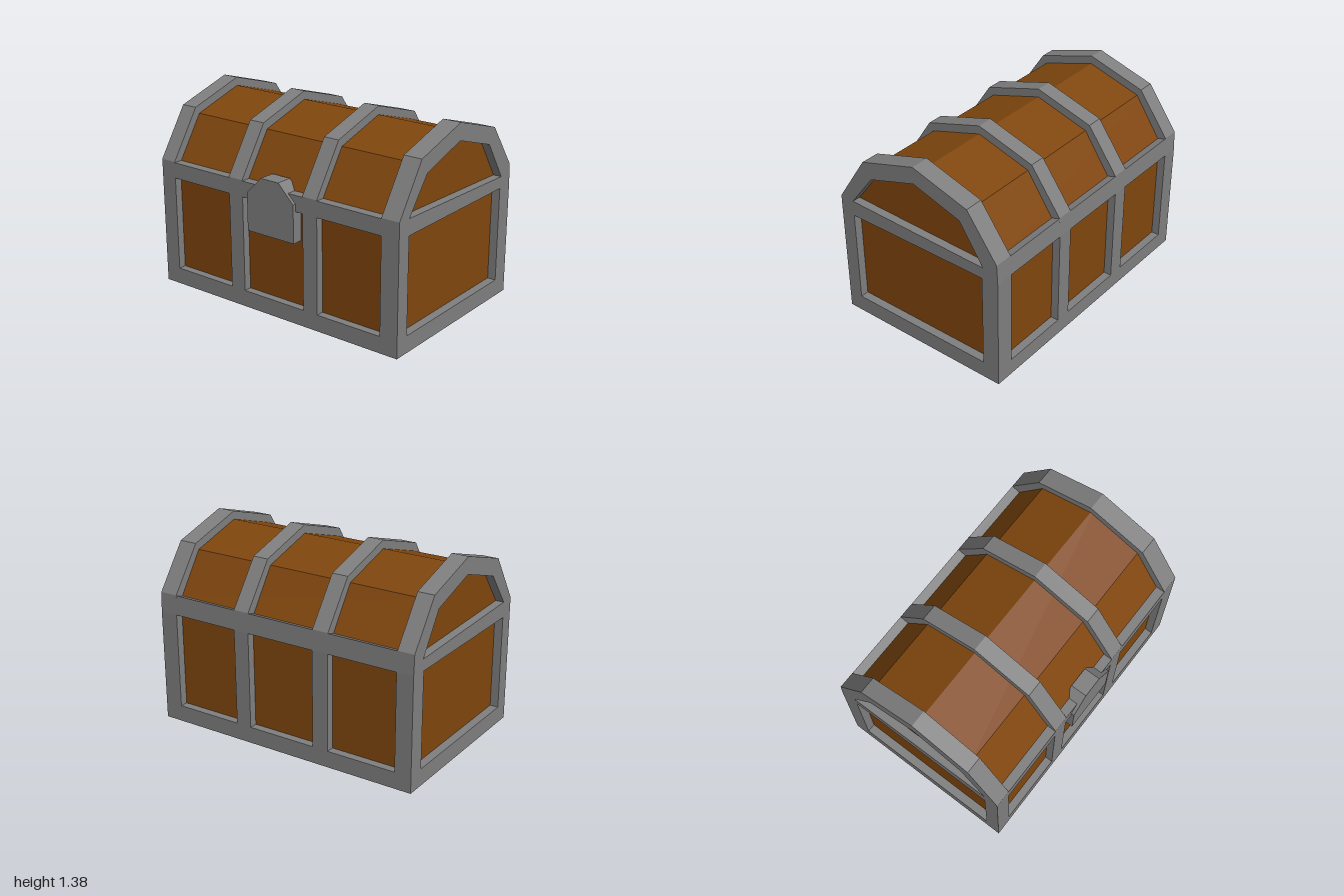
import * as THREE from 'three';

const V = pts => pts.map(([a, b]) => new THREE.Vector2(a, b));

// Extrudes a (z, y) outline along x, from x0 to x1
function extrudeX(points, x0, x1, holes = []) {
  const shape = new THREE.Shape(V(points));
  holes.forEach(h => shape.holes.push(new THREE.Path(V(h))));
  const geo = new THREE.ExtrudeGeometry(shape, { depth: x1 - x0, bevelEnabled: false });
  geo.rotateY(-Math.PI / 2);
  geo.translate(x1, 0, 0);
  return geo;
}

export function createModel() {
  const group = new THREE.Group();
  const wood = new THREE.MeshStandardMaterial({ color: 0x80460e });
  wood.name = 'brown wood';
  const iron = new THREE.MeshStandardMaterial({ color: 0x7f7f7f });
  iron.name = 'grey iron';
  const add = (name, geo, mat) => {
    const mesh = new THREE.Mesh(geo, mat);
    mesh.name = name;
    group.add(mesh);
  };

  // Wooden body with faceted lid, recessed behind the iron frame
  add('woodenBody', extrudeX([
    [0.59, 0.06], [0.59, 0.89], [0.385, 1.2], [-0.01, 1.32],
    [-0.405, 1.2], [-0.61, 0.9], [-0.61, 0.06],
  ], -0.94, 0.94), wood);

  // Iron bands: two open end frames and two ribs
  const outline = [
    [0.645, 0], [0.645, 0.91], [0.42, 1.25], [-0.01, 1.38],
    [-0.435, 1.25], [-0.66, 0.94], [-0.667, 0.8], [-0.667, 0],
  ];
  const sideHole = [[0.54, 0.12], [0.54, 0.793], [-0.543, 0.793], [-0.543, 0.12]];
  const lidHole = [[0.54, 0.905], [0.355, 1.145], [-0.01, 1.26], [-0.375, 1.145], [-0.553, 0.875]];
  add('rightEndFrame', extrudeX(outline, -1, -0.88, [sideHole, lidHole]), iron);
  add('leftEndFrame', extrudeX(outline, 0.867, 1, [sideHole, lidHole]), iron);
  add('rightRib', extrudeX(outline, -0.375, -0.257), iron);
  add('leftRib', extrudeX(outline, 0.253, 0.369), iron);

  // Long rails joining the bands along the base and the lid seam
  const rails = {
    frontBaseRail: [[0.645, 0], [0.645, 0.117], [0.54, 0.117], [0.54, 0]],
    backBaseRail: [[-0.667, 0], [-0.667, 0.117], [-0.545, 0.117], [-0.545, 0]],
    frontSeamRail: [[0.645, 0.793], [0.645, 0.905], [0.54, 0.905], [0.54, 0.793]],
    backSeamRail: [[-0.667, 0.8], [-0.66, 0.938], [-0.545, 0.9], [-0.545, 0.8]],
  };
  for (const [name, pts] of Object.entries(rails)) add(name, extrudeX(pts, -0.9, 0.9), iron);

  // Latch plate
  const latch = new THREE.ExtrudeGeometry(new THREE.Shape(V([
    [-0.197, 0.578], [0.195, 0.578], [0.195, 0.845],
    [0.073, 0.968], [-0.075, 0.968], [-0.197, 0.845],
  ])), { depth: 0.117, bevelEnabled: false });
  latch.translate(0, 0, 0.55);
  add('latch', latch, iron);

  return group;
}
